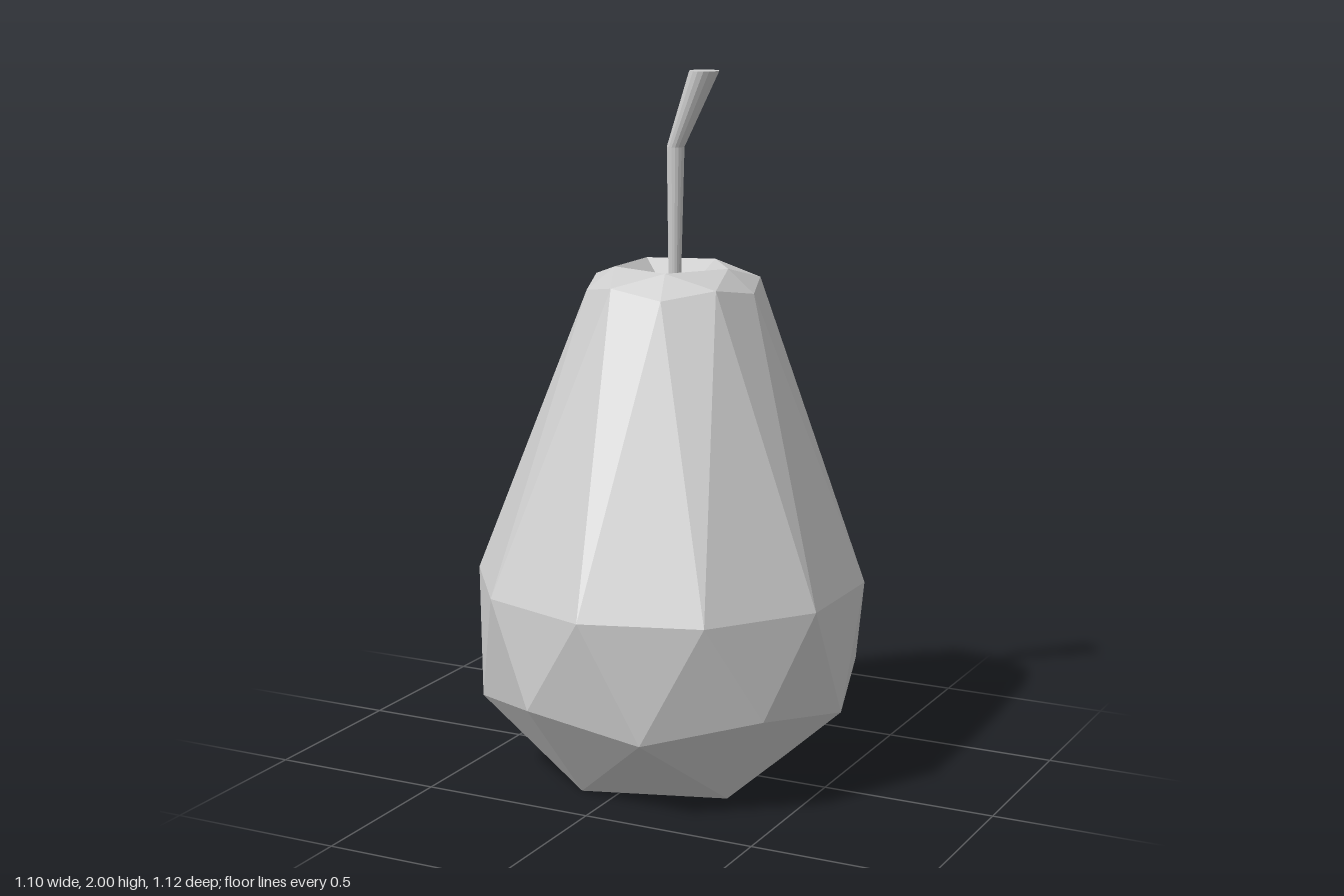
import * as THREE from 'three';

// Ring of n points; radius and height may alternate between even and odd points
function ring(n, startDeg, cx, cz, r, y, rOdd = r, yOdd = y) {
  const pts = [];
  for (let i = 0; i < n; i++) {
    const a = THREE.MathUtils.degToRad(startDeg + (360 / n) * i);
    const rad = i % 2 ? rOdd : r;
    pts.push([cx + rad * Math.cos(a), i % 2 ? yOdd : y, cz + rad * Math.sin(a)]);
  }
  return (i) => pts[(i + n) % n];
}

// Faceted pear body: rings of a subdivided icosahedron with both poles pushed in
function createBody(material) {
  const top = [-0.02, 1.33, -0.08];
  const bottom = [0.005, 0.145, 0];
  const crown = ring(5, 0, -0.02, -0.08, 0.17, 1.45, 0.17, 1.45);
  const shoulder = ring(10, 0, -0.02, -0.08, 0.25, 1.385, 0.25, 1.41);
  const belly = ring(10, 18, 0.007, 0, 0.56, 0.565);
  const hip = ring(10, 0, 0.005, 0, 0.54, 0.23, 0.555, 0.285);
  const foot = ring(5, 36, 0.006, 0, 0.351, 0);

  const positions = [];
  const tri = (a, b, c) => positions.push(...a, ...b, ...c);

  for (let k = 0; k < 5; k++) {
    const e = 2 * k, o = e + 1, n = e + 2;
    // stem hollow and crown
    tri(top, crown(k + 1), crown(k));
    tri(crown(k + 1), shoulder(o), crown(k));
    tri(crown(k), shoulder(o), shoulder(e));
    tri(crown(k + 1), shoulder(n), shoulder(o));
    // base and its hollow
    tri(hip(n), foot(k + 1), foot(k));
    tri(hip(n), foot(k), hip(o));
    tri(hip(o), foot(k), hip(e));
    tri(foot(k + 1), bottom, foot(k));
  }
  // neck and belly
  for (let j = 0; j < 10; j++) {
    tri(shoulder(j + 1), belly(j), shoulder(j));
    tri(shoulder(j), belly(j), belly(j - 1));
    tri(belly(j), hip(j + 1), hip(j));
    tri(belly(j), hip(j), belly(j - 1));
  }

  const geo = new THREE.BufferGeometry();
  geo.setAttribute('position', new THREE.Float32BufferAttribute(positions, 3));
  geo.computeVertexNormals(); // separate triangles give flat facets
  const mesh = new THREE.Mesh(geo, material);
  mesh.name = 'pearBody';
  return mesh;
}

// Bent stem that widens upward, with level cross-sections
function createStem(material) {
  const sections = [
    { x: -0.018, y: 1.31, z: -0.08, r: 0.016 },
    { x: -0.015, y: 1.785, z: -0.08, r: 0.025 },
    { x: 0.076, y: 2.0, z: -0.075, r: 0.042 },
  ];
  let geo = new THREE.CylinderGeometry(1, 1, 2, 16, 2);
  const p = geo.attributes.position;
  for (let i = 0; i < p.count; i++) {
    const s = sections[Math.round(p.getY(i)) + 1];
    p.setXYZ(i, s.x + p.getX(i) * s.r, s.y, s.z + p.getZ(i) * s.r);
  }
  geo = geo.toNonIndexed();
  geo.computeVertexNormals();
  const mesh = new THREE.Mesh(geo, material);
  mesh.name = 'stem';
  return mesh;
}

export function createModel() {
  const grey = new THREE.MeshStandardMaterial({ color: 0xcccccc });
  grey.name = 'light grey';

  const group = new THREE.Group();
  group.name = 'pear';
  group.add(createBody(grey), createStem(grey));
  return group;
}
